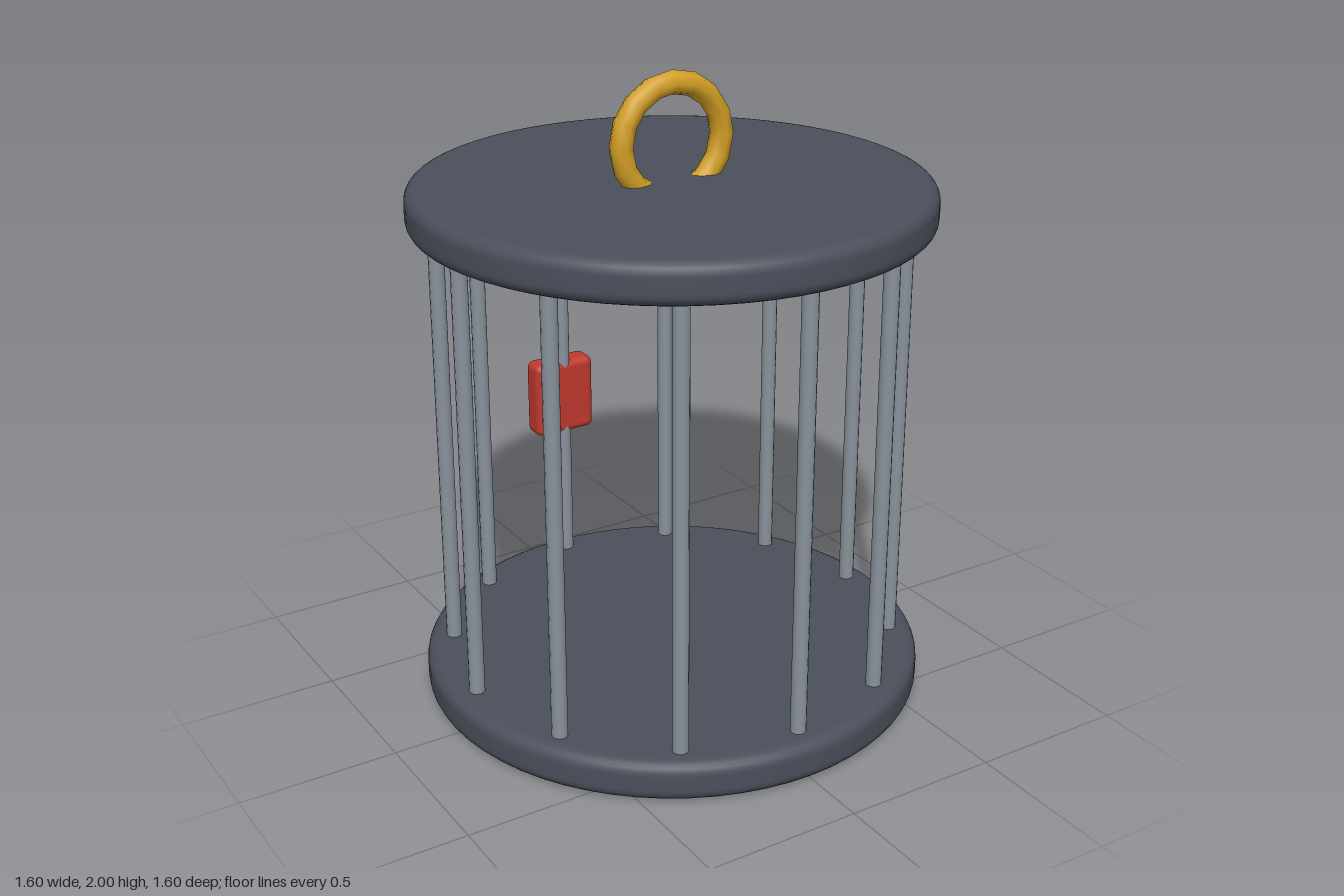
import * as THREE from 'three';
import { RoundedBoxGeometry } from 'three/addons/geometries/RoundedBoxGeometry.js';

const material = (name, color) => {
  const m = new THREE.MeshStandardMaterial({ color });
  m.name = name;
  return m;
};

export function createModel() {
  const slate = material('dark slate', 0x4b4f5b);
  const steel = material('steel grey', 0x89929b);
  const gold = material('gold', 0xd4a026);
  const red = material('lock red', 0xc0392f);

  const cage = new THREE.Group();
  cage.name = 'cage';
  const add = (name, geometry, mat, x, y, z, parent = cage) => {
    const mesh = new THREE.Mesh(geometry, mat);
    mesh.name = name;
    mesh.position.set(x, y, z);
    parent.add(mesh);
    return mesh;
  };

  // Base and lid: discs with a rounded rim
  const R = 0.8, H = 0.13, B = 0.04;
  const profile = [new THREE.Vector2(0, 0), new THREE.Vector2(R - B - 0.01, 0)];
  for (let i = 0; i <= 5; i++) {
    const a = (i / 5) * Math.PI / 2;
    profile.push(new THREE.Vector2(R - B + B * Math.sin(a), B - B * Math.cos(a)));
  }
  for (let i = 0; i <= 5; i++) {
    const a = (i / 5) * Math.PI / 2;
    profile.push(new THREE.Vector2(R - B + B * Math.cos(a), H - B + B * Math.sin(a)));
  }
  profile.push(new THREE.Vector2(R - B - 0.01, H), new THREE.Vector2(0, H));
  const disc = new THREE.LatheGeometry(profile, 64);
  add('base', disc, slate, 0, 0, 0);
  add('lid', disc, slate, 0, 1.54, 0);

  // Twelve upright bars
  const bars = new THREE.Group();
  bars.name = 'bars';
  cage.add(bars);
  const bar = new THREE.CylinderGeometry(0.025, 0.025, 1.46, 12);
  for (let i = 0; i < 12; i++) {
    const a = (i / 12) * Math.PI * 2;
    add('bar', bar, steel, 0.715 * Math.sin(a), 0.835, 0.715 * Math.cos(a), bars);
  }

  // Carrying ring, sunk into the lid
  add('ring', new THREE.TorusGeometry(0.176, 0.037, 8, 16), gold, 0, 1.787, 0);

  // Lock on the middle back bar
  add('lock', new RoundedBoxGeometry(0.22, 0.265, 0.09, 3, 0.025), red, 0, 0.717, -0.735);

  return cage;
}
